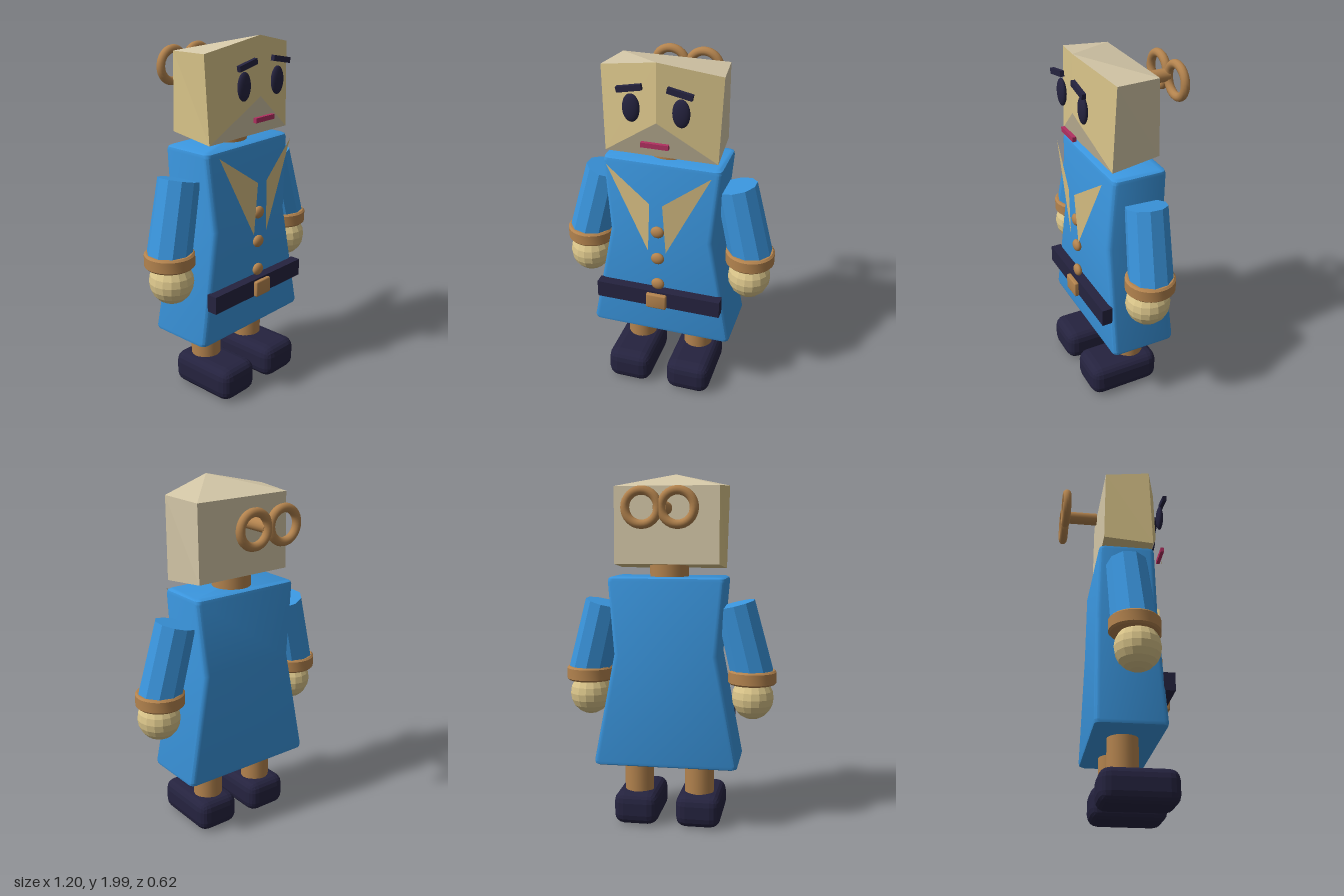
import * as THREE from 'three';
import { toCreasedNormals } from 'three/addons/utils/BufferGeometryUtils.js';
import { RoundedBoxGeometry } from 'three/addons/geometries/RoundedBoxGeometry.js';

const mat = (name, color, side = THREE.FrontSide) => {
  const m = new THREE.MeshStandardMaterial({ color, side });
  m.name = name;
  return m;
};

// Faceted copy of a geometry
function flat(geo) {
  const g = geo.index ? geo.toNonIndexed() : geo;
  g.computeVertexNormals();
  return g;
}

// Flat-faced geometry from convex polygons, listed counter-clockwise
function polygons(faces) {
  const pos = [];
  for (const f of faces) {
    for (let i = 1; i < f.length - 1; i++) pos.push(...f[0], ...f[i], ...f[i + 1]);
  }
  const g = new THREE.BufferGeometry();
  g.setAttribute('position', new THREE.Float32BufferAttribute(pos, 3));
  g.computeVertexNormals();
  return g;
}

// Loft of rounded rectangles; each ring is [y, halfWidth, zBack, zFront, cornerRadius]
function loft(rings, perCorner = 3) {
  const loops = rings.map(([y, w, z0, z1, r]) => {
    const pts = [];
    const corners = [[w - r, z1 - r], [r - w, z1 - r], [r - w, z0 + r], [w - r, z0 + r]];
    corners.forEach(([cx, cz], c) => {
      for (let k = 0; k <= perCorner; k++) {
        const a = (c + k / perCorner) * Math.PI / 2;
        pts.push([cx + r * Math.cos(a), y, cz + r * Math.sin(a)]);
      }
    });
    return pts;
  });
  const faces = [loops[0], [...loops[loops.length - 1]].reverse()];
  const n = loops[0].length;
  for (let j = 0; j < loops.length - 1; j++) {
    for (let i = 0; i < n; i++) {
      const k = (i + 1) % n;
      faces.push([loops[j][i], loops[j + 1][i], loops[j + 1][k], loops[j][k]]);
    }
  }
  return toCreasedNormals(polygons(faces), 0.55);
}

export function createModel() {
  const root = new THREE.Group();
  root.name = 'windUpFigure';

  const blue = mat('coatBlue', 0x3a95dd);
  const skin = mat('warmSkin', 0xdac58a);
  const pale = mat('paleWood', 0xd5c8a8);
  const collarMat = mat('collarTan', 0xd6bd82, THREE.DoubleSide);
  const wood = mat('woodBrown', 0xb3834e);
  const navy = mat('darkNavy', 0x25233f);
  const red = mat('lipRed', 0xb03060);

  const add = (name, geo, material, x = 0, y = 0, z = 0, rz = 0) => {
    const m = new THREE.Mesh(geo, material);
    m.name = name;
    m.position.set(x, y, z);
    m.rotation.z = rz;
    root.add(m);
    return m;
  };
  const ellipsoid = (rx, ry, rz, ws = 24, hs = 16) =>
    new THREE.SphereGeometry(1, ws, hs).scale(rx, ry, rz);

  // Coat: flared below the waist, slightly wider at the shoulders
  add('coat', loft([
    [0.37, 0.385, -0.122, 0.213, 0.02],
    [0.378, 0.4, -0.138, 0.229, 0.03],
    [0.395, 0.404, -0.142, 0.233, 0.03],
    [1.0, 0.29, -0.126, 0.213, 0.03],
    [1.405, 0.326, -0.114, 0.194, 0.03],
    [1.422, 0.322, -0.11, 0.19, 0.03],
    [1.43, 0.307, -0.095, 0.175, 0.02],
  ]), blue);

  // Head: box with a ridged face and a slanting chin
  const peak = [0, 2, 0.255], chin = [0, 1.69, 0.265];
  const tl = [-0.32, 1.93, 0.17], tr = [0.32, 1.93, 0.17];
  const bl = [-0.305, 1.47, 0.19], br = [0.305, 1.47, 0.19];
  const btl = [-0.29, 1.92, -0.075], btr = [0.29, 1.92, -0.075];
  const bbl = [-0.29, 1.5, -0.083], bbr = [0.29, 1.5, -0.083];
  add('headWarmFaces', polygons([
    [peak, chin, br, tr], [peak, tl, bl, chin],
    [btl, bbl, bl, tl], [bl, bbl, bbr, br],
  ]), skin);
  add('headPaleFaces', polygons([
    [chin, bl, br], [tr, br, bbr, btr],
    [btr, bbr, bbl, btl], [peak, tr, btr, btl, tl],
  ]), pale);
  add('neck', new THREE.CylinderGeometry(0.108, 0.108, 0.14, 24), wood, 0, 1.45, 0.03);

  // Cuff ring with softened edges
  const cuffProfile = [[0, -0.04], [0.125, -0.04], [0.135, -0.03], [0.135, 0.03], [0.125, 0.04], [0, 0.04]]
    .map(([r, y]) => new THREE.Vector2(r, y));
  const cuffGeo = toCreasedNormals(new THREE.LatheGeometry(cuffProfile, 28), 0.5);

  for (const s of [1, -1]) {
    const side = s > 0 ? 'left' : 'right';

    // Arm, cuff and hand
    const arm = add(side + 'Arm', flat(new THREE.CylinderGeometry(0.113, 0.122, 0.43, 10)),
      blue, s * 0.422, 1.07, 0.041, s * 0.245);
    arm.rotation.x = -0.05;
    add(side + 'Cuff', cuffGeo, wood, s * 0.467, 0.87, 0.052);
    add(side + 'Hand', flat(ellipsoid(0.118, 0.125, 0.122, 16, 10)), skin, s * 0.47, 0.75, 0.066);

    // Leg and shoe
    add(side + 'Leg', new THREE.CylinderGeometry(0.083, 0.083, 0.24, 24), wood, s * 0.175, 0.29, 0.03);
    add(side + 'Shoe', flat(new RoundedBoxGeometry(0.257, 0.19, 0.415, 2, 0.06)),
      navy, s * 0.178, 0.105, 0.103);

    // Pointed collar flap
    const flap = [[0.285, 1.41, 0.24], [0.035, 1.235, 0.285], [0.05, 0.94, 0.275]]
      .map(([x, y, z]) => [s * x, y, z]);
    if (s < 0) flap.reverse();
    add(side + 'Collar', polygons([flap]), collarMat);

    // Eye and eyebrow
    add(side + 'Eye', ellipsoid(0.046, 0.075, 0.02), navy, s * 0.13, 1.757, 0.265);
    add(side + 'Eyebrow', new THREE.BoxGeometry(0.133, 0.03, 0.022),
      navy, s * 0.13, 1.868, 0.286, -s * 0.2);

    // Key loop
    add(side + 'KeyLoop', new THREE.TorusGeometry(0.087, 0.024, 12, 32), wood, s * 0.095, 1.8, -0.285);
  }

  add('mouth', new THREE.BoxGeometry(0.146, 0.026, 0.02), red, 0, 1.578, 0.289);

  // Key shaft
  const shaft = add('keyShaft', new THREE.CylinderGeometry(0.036, 0.036, 0.19, 16), wood, 0, 1.8, -0.19);
  shaft.rotation.x = Math.PI / 2;

  // Belt, buckle and buttons
  add('belt', new THREE.BoxGeometry(0.71, 0.098, 0.06), navy, 0, 0.627, 0.248);
  add('buckle', toCreasedNormals(new RoundedBoxGeometry(0.116, 0.09, 0.026, 2, 0.008), 0.5),
    wood, 0, 0.628, 0.296);
  for (const y of [1.057, 0.89, 0.724]) {
    add('button', ellipsoid(0.037, 0.034, 0.021), wood, 0, y, 0.263);
  }

  return root;
}
